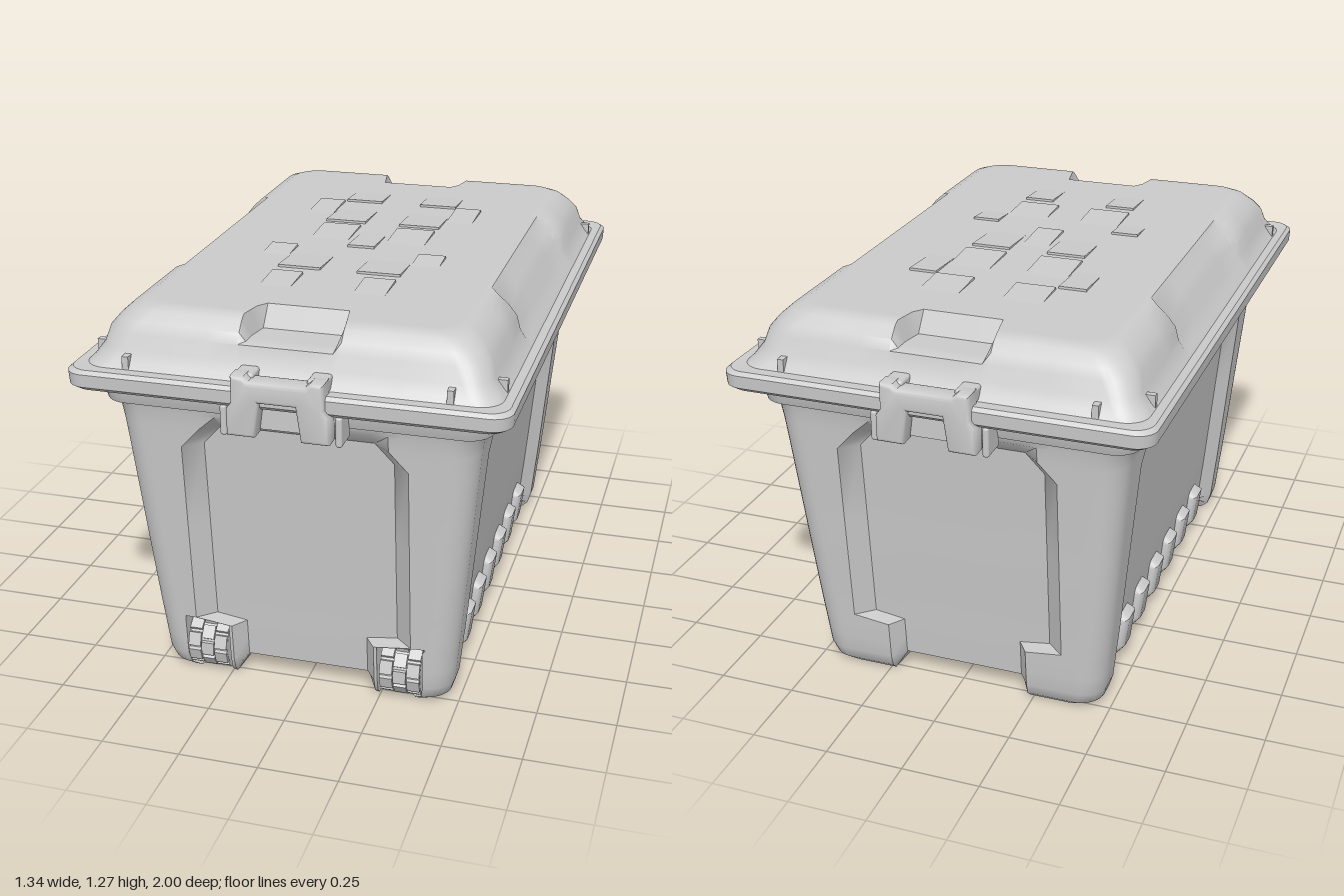
import * as THREE from 'three';
import { toCreasedNormals } from 'three/addons/utils/BufferGeometryUtils.js';
import { RoundedBoxGeometry } from 'three/addons/geometries/RoundedBoxGeometry.js';

const grey = new THREE.MeshStandardMaterial({ color: 0xcccccc, side: THREE.DoubleSide });

function add(parent, name, geometry, x = 0, y = 0, z = 0) {
  const mesh = new THREE.Mesh(geometry, grey);
  mesh.name = name;
  mesh.position.set(x, y, z);
  parent.add(mesh);
  return mesh;
}

// Rounded rectangle as [x, z, flag]; samples(k, L) lists [offset, dent, flag] for half of side k
function outline(hx, hz, r, samples) {
  const pts = [];
  for (let k = 0; k < 4; k++) {
    const nx = [1, 0, -1, 0][k], nz = [0, 1, 0, -1][k];
    const a = k % 2 ? hz : hx, b = k % 2 ? hx : hz, L = b - r;
    const put = (n, t, flag) => pts.push([nx * n - nz * t, nz * n + nx * t, flag]);
    const half = [...samples(k, L), [L, 0, 0]];
    for (const [s, d, f] of [...half].reverse()) put(a - d, -s, f);
    for (const [s, d, f] of half) put(a - d, s, f);
    for (let i = 1; i < 8; i++) {
      const p = (i / 8) * Math.PI / 2;
      put(a - r + r * Math.cos(p), L + r * Math.sin(p), 0);
    }
  }
  return pts;
}

// Skin through rings of [x, y, z], listed from the bottom centre up to the top centre
function loft(rings, crease) {
  const n = rings[0].length, index = [];
  for (let i = 0; i < rings.length - 1; i++)
    for (let j = 0; j < n; j++) {
      const a = i * n + j, b = i * n + (j + 1) % n;
      index.push(a, a + n, b, b, a + n, b + n);
    }
  const g = new THREE.BufferGeometry();
  g.setAttribute('position', new THREE.Float32BufferAttribute(rings.flat(2), 3));
  g.setIndex(index);
  return toCreasedNormals(g, crease);
}

// Tub with recessed wall panels, corner pillars, wheel slots and feet
function bodyGeometry() {
  const levels = [ // y, half width, half depth, panel recess
    [0, 0.445, 0.765, 1], [0.02, 0.468, 0.786, 1], [0.06, 0.48, 0.798, 1], [0.12, 0.486, 0.803, 1],
    [0.19, 0.493, 0.809, 1], [0.205, 0.495, 0.81, 1], [0.3, 0.504, 0.818, 1], [0.55, 0.527, 0.838, 1],
    [0.83, 0.553, 0.86, 1], [0.895, 0.559, 0.866, 1], [0.945, 0.566, 0.871, 0], [0.965, 0.575, 0.876, 0],
    [0.968, 0.598, 0.89, 0], [1.025, 0.606, 0.91, 0], [1.045, 0.606, 0.91, 0],
  ];
  const rings = levels.map(([y, hx, hz, on]) => outline(hx, hz, 0.08, (k, L) => {
    const end = k % 2, low = y < 0.2, shut = THREE.MathUtils.smoothstep(y, 0.83, 0.9);
    const w = (end ? (low ? 0.2 : 0.3) : 0.6) - 0.06 * shut;
    const ramp = end ? (low ? 0.035 : 0.055) : 0.055, d = on * (end ? 0.05 : 0.04);
    const s0 = w + ramp, wall = [[0, d, 1], [w * 0.5, d, 1], [w, d, 1], [s0, 0, 0]];
    const slot = k === 1 && low ? 0.1 : 0;
    const edge = end && low ? [0.245, 0.247, Math.min(0.39, L - 0.006), Math.min(0.392, L - 0.003)]
      : [0.2, 0.4, 0.6, 0.8].map(f => s0 + (L - s0) * f);
    return [...wall, ...edge.map((s, i) => [s, i === 1 || i === 2 ? slot : 0, 0])];
  }).map(([x, z, f]) => [x, f ? Math.max(y, 0.055) : y, z]));
  // Underside: feet stay on the ground, the floor between them is raised
  const clamp = THREE.MathUtils.clamp;
  const inner = rings[0].map(([x, y, z]) => [clamp(x, -0.22, 0.22), y, clamp(z, -0.58, 0.58)]);
  const floor = inner.map(([x, , z]) => [x, 0.055, z]);
  const top = rings[rings.length - 1];
  return loft([floor.map(() => [0, 0.055, 0]), floor, inner, ...rings, top.map(() => [0, 1.045, 0])], 0.6);
}

// Lid with rolled flange, domed top and a notch behind each latch
function lidGeometry() {
  const levels = [ // y, half width, half depth, corner radius, side inset
    [1.03, 0.56, 0.86, 0.06, 0], [1.032, 0.655, 0.965, 0.06, 0], [1.045, 0.67, 0.98, 0.06, 0],
    [1.085, 0.672, 0.982, 0.06, 0], [1.096, 0.66, 0.97, 0.06, 0], [1.094, 0.632, 0.93, 0.07, 0],
    [1.11, 0.618, 0.918, 0.08, 0], [1.145, 0.594, 0.895, 0.08, 0.01], [1.19, 0.582, 0.882, 0.09, 0.02],
    [1.22, 0.558, 0.863, 0.09, 0.025], [1.25, 0.525, 0.836, 0.09, 0.02], [1.262, 0.495, 0.815, 0.09, 0],
  ];
  const ring = ([y, hx, hz, r, inset], t = 1) => outline(hx, hz, r, k => k % 2
    ? [[0, 0, 1], [0.07, 0, 1], [0.135, 0, 1], [0.155, 0, 0], [0.25, 0, 0], [0.35, 0, 0]]
    : [[0, inset, 0], [0.2, inset, 0], [0.39, inset, 0], [0.42, 0, 0], [0.55, 0, 0], [0.65, 0, 0]])
    .map(([x, z, f]) => [x * t, f && t > 0.89 ? Math.min(y, 1.195) : y, z * t]);
  const last = levels[levels.length - 1];
  const rings = levels.map(l => ring(l));
  const tops = [0.96, 0.91, 0.87, 0.7, 0.4, 0].map(t => ring(last, t));
  return loft([rings[0].map(() => [0, 1.03, 0]), ...rings, ...tops], 0.6);
}

// Extruded polygon with a small bevel, centred on its thickness
function plate(points, depth, bevel) {
  const g = new THREE.ExtrudeGeometry(new THREE.Shape(points.map(p => new THREE.Vector2(...p))), {
    depth: depth - 2 * bevel, bevelSize: bevel, bevelThickness: bevel, bevelOffset: -bevel, bevelSegments: 3,
  });
  g.translate(0, 0, -depth / 2 + bevel);
  return toCreasedNormals(g, 0.7);
}

function latch() {
  const group = new THREE.Group();
  group.name = 'latch';
  const half = [[0.07, 0.952], [0.155, 0.952], [0.155, 1.035], [0.14, 1.055], [0.14, 1.138], [0.1, 1.138], [0.085, 1.125]];
  const shape = [[0.055, 1.06], ...half, ...half.map(([x, y]) => [-x, y]).reverse(), [-0.055, 1.06]];
  add(group, 'latchHandle', plate(shape, 0.07, 0.012), 0, 0, 0.965);
  add(group, 'latchBacking', new THREE.BoxGeometry(0.2, 0.1, 0.04), 0, 1.01, 0.925);
  for (const s of [-1, 1]) {
    add(group, 'latchLug', new RoundedBoxGeometry(0.02, 0.095, 0.09, 2, 0.008), s * 0.175, 0.985, 0.925);
    add(group, 'latchHook', new RoundedBoxGeometry(0.06, 0.045, 0.07, 2, 0.01), s * 0.11, 1.115, 0.93);
  }
  return group;
}

function wheel() {
  const group = new THREE.Group();
  group.name = 'wheel';
  add(group, 'tyre', new THREE.CylinderGeometry(0.083, 0.083, 0.13, 28)).rotation.z = Math.PI / 2;
  for (let row = 0; row < 3; row++)
    for (let i = 0; i < 10; i++) {
      const a = (i + (row % 2) / 2) * Math.PI / 5;
      const block = add(group, 'treadBlock', new THREE.BoxGeometry(0.041, 0.016, 0.044),
        (row - 1) * 0.044, 0.084 * Math.cos(a), 0.084 * Math.sin(a));
      block.rotation.x = a;
    }
  return group;
}

export function createModel() {
  const model = new THREE.Group();
  model.name = 'storageBox';
  add(model, 'tub', bodyGeometry());
  add(model, 'lid', lidGeometry());

  // Ribs across the floor, turned up at the side walls
  const ribHalf = [[0.445, 0.032], [0.468, 0.06], [0.482, 0.17], [0.455, 0.185], [0.4, 0.185]];
  const rib = [...ribHalf, ...ribHalf.map(([x, y]) => [-x, y]).reverse()];
  for (let i = 0; i < 6; i++)
    add(model, 'floorRib', plate(rib, 0.1, 0.022), 0, 0, (i - 2.5) * 0.18);

  // Shallow raised wedges on the lid: x, z, width, length, higher end
  const wedges = [
    [0.135, -0.52, 0.13, 0.2, 1], [0.25, -0.29, 0.09, 0.24, -1], [0.13, -0.28, 0.14, 0.24, 1],
    [0.13, 0.0, 0.13, 0.24, -1], [0.25, 0.22, 0.09, 0.15, -1], [0.13, 0.26, 0.14, 0.22, 1], [0.15, 0.52, 0.1, 0.2, -1],
  ];
  const addWedge = (x, z, w, l, end) => {
    const g = new THREE.BoxGeometry(w, 0.02, l).toNonIndexed(), p = g.attributes.position;
    for (let i = 0; i < p.count; i++)
      if (p.getY(i) > 0 && p.getZ(i) * end < 0) p.setY(i, -0.002);
    g.computeVertexNormals();
    add(model, 'lidWedge', g, x, 1.26, z);
  };
  for (const [x, z, w, l, end] of wedges)
    for (const s of [-1, 1]) addWedge(s * x, z, w, l, end);
  addWedge(0, -0.02, 0.09, 0.26, 1);

  // Small fins bracing the dome against the flange at each corner
  for (const sx of [-1, 1])
    for (const sz of [-1, 1]) {
      add(model, 'lidFin', new THREE.BoxGeometry(0.02, 0.05, 0.05), sx * 0.49, 1.11, sz * 0.905);
      add(model, 'lidFin', new THREE.BoxGeometry(0.05, 0.05, 0.02), sx * 0.605, 1.11, sz * 0.8);
    }

  // Latches front and back, wheels at the front corners
  const front = latch(), back = latch();
  back.rotation.y = Math.PI;
  model.add(front, back);
  for (const s of [-1, 1]) {
    const w = wheel();
    w.position.set(s * 0.32, 0.094, 0.722);
    model.add(w);
  }
  return model;
}
